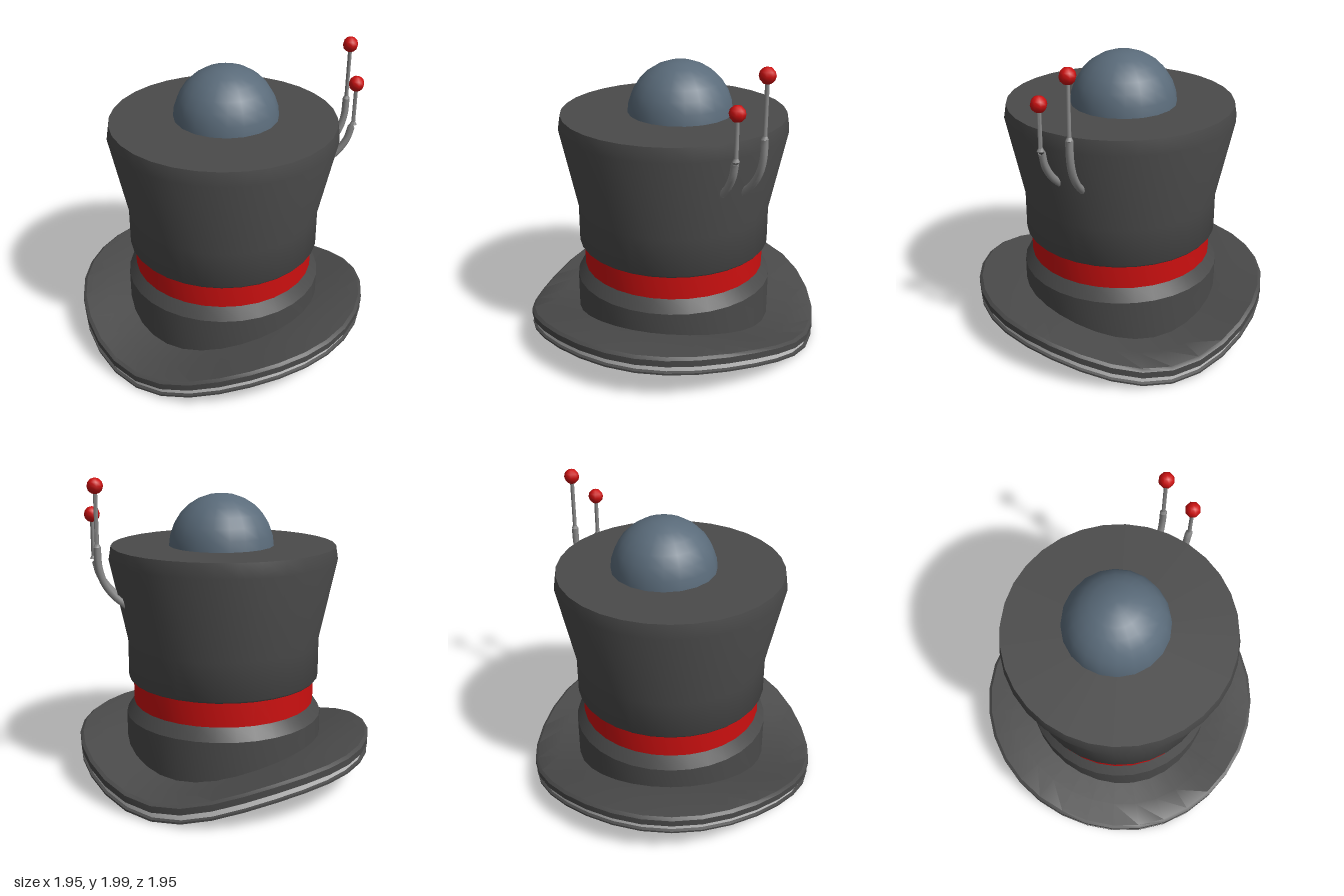
import * as THREE from 'three';
import { toCreasedNormals } from 'three/addons/utils/BufferGeometryUtils.js';

const felt = new THREE.MeshStandardMaterial({ color: 0x4a4a4a, side: THREE.DoubleSide });
const red = new THREE.MeshStandardMaterial({ color: 0xcc1010, side: THREE.DoubleSide });
const slate = new THREE.MeshStandardMaterial({ color: 0x5a6b7a });
const metal = new THREE.MeshStandardMaterial({ color: 0x8a8a8a });
const trim = new THREE.MeshStandardMaterial({ color: 0xcccccc, side: THREE.DoubleSide });

const BRIM_R = 0.975;

// Upward roll of the brim towards both sides, with a slight dome in the middle
function brimLift(x, z) {
  const r2 = Math.min(1, (x * x + z * z) / (BRIM_R * BRIM_R));
  return 0.0925 * (1 - Math.cos((Math.PI * x) / BRIM_R)) + 0.035 * (1 - r2);
}

function bend(geometry, rule) {
  const p = geometry.attributes.position;
  for (let i = 0; i < p.count; i++) p.setY(i, rule(p.getX(i), p.getY(i), p.getZ(i)));
  return geometry;
}

function lathe(points, segments = 32) {
  return new THREE.LatheGeometry(points.map(([r, y]) => new THREE.Vector2(r, y)), segments);
}

function mesh(name, geometry, material, crease = 0.6) {
  const m = new THREE.Mesh(toCreasedNormals(geometry, crease), material);
  m.name = name;
  return m;
}

function makeBrim() {
  const brim = new THREE.Group();
  brim.name = 'brim';
  const add = (name, points, material) =>
    brim.add(mesh(name, bend(lathe(points), (x, y, z) => y + brimLift(x, z)), material));
  add('brimUnderside', [[0, 0.01], [0.2, 0.01], [0.4, 0.01], [0.6, 0.01], [0.8, 0.01],
    [0.95, 0.01], [0.972, 0.018], [0.972, 0.03], [0.955, 0.036]], felt);
  add('brimTrim', [[0.955, 0.034], [0.955, 0.074]], trim);
  add('brimTop', [[0.955, 0.072], [BRIM_R, 0.078], [BRIM_R, 0.12], [0.955, 0.134],
    [0.8, 0.134], [0.6, 0.134], [0.4, 0.134], [0.2, 0.134], [0, 0.134]], felt);
  return brim;
}

function makeCrown() {
  const crown = new THREE.Group();
  crown.name = 'crown';
  crown.position.set(0.002, 0, -0.008);
  // Lower wall follows the rolled brim
  const base = bend(lathe([[0.652, 0], [0.652, 0.43], [0.6, 0.51]]),
    (x, y, z) => (y === 0 ? 0.132 + brimLift(x, z) : y));
  crown.add(mesh('crownBase', base, felt, 0.4));
  crown.add(mesh('hatBand', lathe([[0.601, 0.51], [0.601, 0.675]]), red));
  crown.add(mesh('crownBody', lathe([[0.6, 0.67], [0.622, 0.672], [0.632, 0.685], [0.632, 0.93],
    [0.742, 1.46], [0.727, 1.55], [0, 1.55]]), felt, 0.7));
  return crown;
}

// Bent tube rising from the crown wall, thin rod and ball on top
function makeAntenna(foot, x, z, jointY, ballY) {
  const antenna = new THREE.Group();
  antenna.name = 'antenna';
  const [fx, fy, fz] = foot;
  const at = (t, y) => new THREE.Vector3(fx + (x - fx) * t, y, fz + (z - fz) * t);
  const path = new THREE.CatmullRomCurve3([
    at(0, fy), at(0.45, fy + 0.07), at(0.8, fy + 0.16), at(0.97, fy + 0.26), at(1, jointY)]);
  antenna.add(mesh('antennaTube', new THREE.TubeGeometry(path, 14, 0.023, 8), metal, 1));
  const end = new THREE.SphereGeometry(0.023, 8, 6);
  end.translate(fx, fy, fz);
  antenna.add(mesh('antennaFoot', end, metal, 1));
  const collar = new THREE.CylinderGeometry(0.013, 0.023, 0.02, 8);
  collar.translate(x, jointY + 0.01, z);
  antenna.add(mesh('antennaCollar', collar, metal, 1));
  const rod = new THREE.CylinderGeometry(0.013, 0.013, ballY - jointY, 8);
  rod.translate(x, (ballY + jointY) / 2, z);
  antenna.add(mesh('antennaRod', rod, metal, 1));
  const ball = new THREE.SphereGeometry(0.05, 8, 6);
  ball.translate(x, ballY, z);
  antenna.add(mesh('antennaBall', ball, red, 1));
  return antenna;
}

export function createModel() {
  const hat = new THREE.Group();
  hat.name = 'topHat';
  hat.add(makeBrim(), makeCrown());

  // Dome on the lid
  const dome = mesh('dome', new THREE.SphereGeometry(0.34, 20, 7, 0, Math.PI * 2, 0, Math.PI / 2), slate, 1);
  dome.position.set(-0.005, 1.54, -0.05);
  hat.add(dome);

  // Pair of antennae at the back left
  hat.add(makeAntenna([0.42, 1.2, -0.53], 0.53, -0.665, 1.58, 1.95));
  hat.add(makeAntenna([0.53, 1.22, -0.425], 0.66, -0.525, 1.48, 1.76));
  return hat;
}
